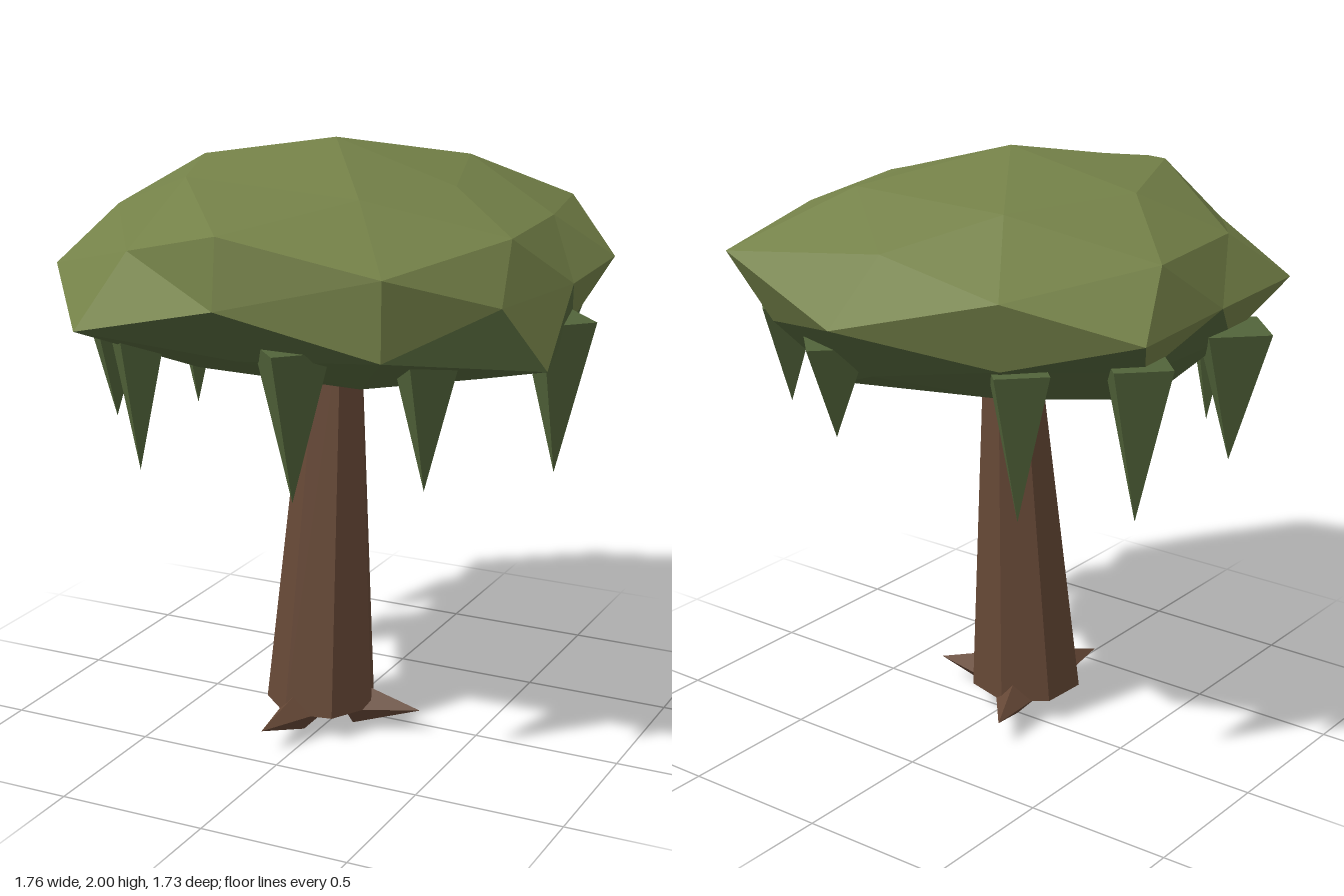
import * as THREE from 'three';

const mat = (name, color) => Object.assign(new THREE.MeshStandardMaterial({ color }), { name });

// Gives every face its own flat normal
function flat(geometry) {
  const g = geometry.index ? geometry.toNonIndexed() : geometry;
  g.computeVertexNormals();
  return g;
}

function part(name, geometry, material) {
  const mesh = new THREE.Mesh(flat(geometry), material);
  mesh.name = name;
  return mesh;
}

// Radius of each crown vertex: grouped by its direction, ordered by the signs of x, y, z
const CROWN_RADII = {
  '1.0,0.0,0.0': [0.82, 0.81],
  '0.0,1.0,0.0': [1.0, 0.9],
  '0.0,0.0,1.0': [0.92, 1.0],
  '0.5,0.9,0.0': [0.8, 1.0, 0.92, 1.03],
  '0.0,0.5,0.9': [1.05, 0.86, 0.88, 0.92],
  '0.9,0.0,0.5': [0.88, 0.94, 0.93, 0.985],
  '0.8,0.5,0.3': [0.875, 0.82, 1.05, 0.9, 0.84, 0.93, 0.86, 0.85],
  '0.5,0.3,0.8': [1.01, 1.06, 1.0, 0.9, 0.84, 0.95, 1.05, 0.88],
  '0.3,0.8,0.5': [0.87, 0.94, 0.93, 1.05, 0.98, 0.92, 0.92, 0.9],
};

function crownPoint(dir) {
  const d = dir.toArray();
  const key = d.map((c) => Math.abs(c).toFixed(1)).join(',');
  let i = 0;
  for (const c of d) if (Math.abs(c) > 0.01) i = i * 2 + (c < 0 ? 1 : 0);
  const r = CROWN_RADII[key][i];
  return [d[0] * r - 0.01, 1.6 + d[1] * r * 0.4, d[2] * r * 0.9 + 0.03];
}

// Squashed, uneven ball, split into sunny upper faces and dark lower faces
function buildCrown(leaf, darkLeaf) {
  const ball = new THREE.IcosahedronGeometry(1, 1);
  const pos = ball.attributes.position;
  const upper = [], lower = [], v = new THREE.Vector3();
  for (let i = 0; i < pos.count; i += 3) {
    const tri = [0, 1, 2].map((k) => crownPoint(v.fromBufferAttribute(pos, i + k)));
    const middle = (tri[0][1] + tri[1][1] + tri[2][1]) / 3;
    (middle > 1.515 ? upper : lower).push(...tri.flat());
  }
  const surface = (list) =>
    new THREE.BufferGeometry().setAttribute('position', new THREE.Float32BufferAttribute(list, 3));
  const crown = new THREE.Group();
  crown.name = 'crown';
  crown.add(part('crownTop', surface(upper), leaf), part('crownUnderside', surface(lower), darkLeaf));
  return crown;
}

// Seven-sided tapered trunk that leans slightly
function buildTrunk(bark) {
  const bottom = 0.08, top = 1.4;
  const g = new THREE.CylinderGeometry(0.088, 0.19, top - bottom, 7);
  g.rotateY(THREE.MathUtils.degToRad(-16));
  g.translate(0, (top + bottom) / 2, 0);
  const p = g.attributes.position;
  for (let i = 0; i < p.count; i++) {
    const t = (p.getY(i) - bottom) / (top - bottom);
    p.setX(i, p.getX(i) - 0.03 + 0.018 * t);
    p.setZ(i, p.getZ(i) + 0.098 - 0.071 * t);
  }
  return part('trunk', g, bark);
}

export function createModel() {
  const leaf = mat('leafGreen', 0x748148);
  const darkLeaf = mat('darkLeafGreen', 0x52643a);
  const bark = mat('barkBrown', 0x664836);

  const tree = new THREE.Group();
  tree.name = 'tree';
  tree.add(buildCrown(leaf, darkLeaf), buildTrunk(bark));

  // Pointed roots lying around the foot of the trunk
  const roots = new THREE.Group();
  roots.name = 'roots';
  for (const angle of [-9, 96, 201]) {
    const g = new THREE.ConeGeometry(0.08, 0.24, 4);
    g.rotateX(Math.PI / 2).translate(0, 0, 0.23);
    g.rotateY(THREE.MathUtils.degToRad(angle)).translate(-0.03, 0.08, 0.098);
    roots.add(part('root', g, bark));
  }
  tree.add(roots);

  // Hanging leaf spikes: x, z, tip height, radius
  const spikes = new THREE.Group();
  spikes.name = 'hangingLeaves';
  const top = 1.477;
  for (const [x, z, tip, r] of [
    [0.75, 0, 0.97, 0.13], [0.53, 0.53, 1.03, 0.12], [0.17, 0.7, 0.99, 0.13],
    [-0.42, 0.61, 0.99, 0.11], [-0.74, 0.23, 1.03, 0.145], [-0.7, -0.25, 0.96, 0.13],
    [-0.45, -0.52, 0.985, 0.12], [0.17, -0.64, 1.16, 0.13], [0.58, -0.4, 1.13, 0.125],
  ]) {
    const g = new THREE.ConeGeometry(r, top - tip, 4);
    g.rotateX(Math.PI).translate(x, (top + tip) / 2, z);
    spikes.add(part('leafSpike', g, darkLeaf));
  }
  tree.add(spikes);
  return tree;
}
